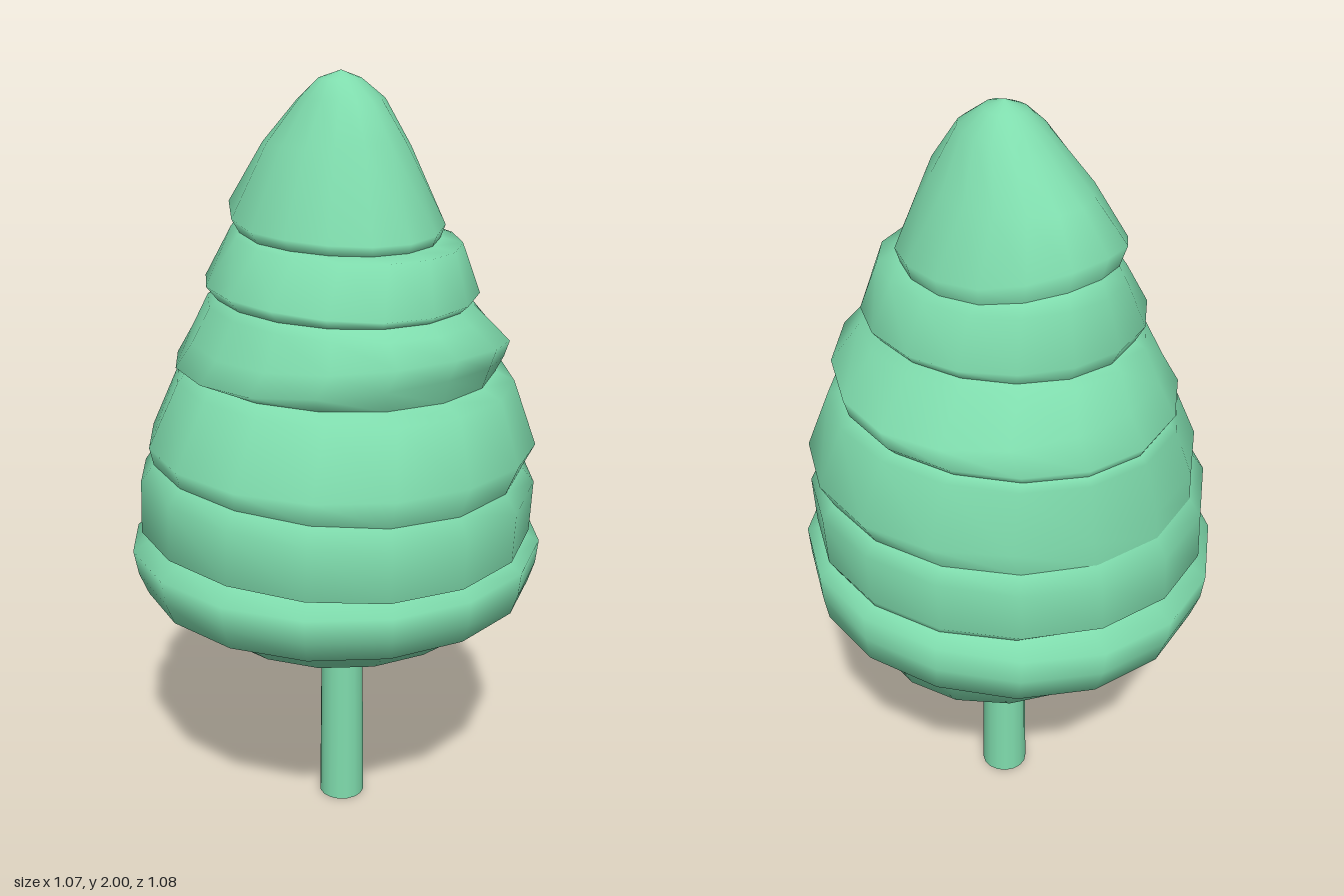
import * as THREE from 'three';

const SIDES = 16;

// Each ring: [left x, right x, back z, front z,  left y, right y, back y, front y]
const tiers = {
  crown: [
    [0.02, 0.02, 0, 0, 2, 2, 2, 2],
    [-0.03, 0.07, -0.06, 0.05, 1.98, 1.98, 1.98, 1.985],
    [-0.075, 0.12, -0.12, 0.115, 1.94, 1.935, 1.92, 1.94],
    [-0.135, 0.19, -0.24, 0.18, 1.83, 1.8, 1.81, 1.85],
    [-0.235, 0.27, -0.31, 0.275, 1.64, 1.65, 1.71, 1.63],
    [-0.215, 0.26, -0.295, 0.26, 1.61, 1.61, 1.655, 1.605],
  ],
  upperTier: [
    [-0.23, 0.295, -0.325, 0.325, 1.6, 1.6, 1.62, 1.6],
    [-0.32, 0.345, -0.35, 0.37, 1.495, 1.48, 1.49, 1.475],
    [-0.29, 0.325, -0.33, 0.345, 1.46, 1.455, 1.45, 1.455],
  ],
  secondTier: [
    [-0.31, 0.345, -0.36, 0.38, 1.44, 1.43, 1.44, 1.43],
    [-0.355, 0.44, -0.41, 0.42, 1.35, 1.32, 1.36, 1.38],
    [-0.39, 0.44, -0.445, 0.41, 1.29, 1.285, 1.27, 1.33],
    [-0.36, 0.42, -0.435, 0.39, 1.275, 1.265, 1.25, 1.27],
  ],
  middleTier: [
    [-0.39, 0.45, -0.455, 0.45, 1.25, 1.25, 1.235, 1.25],
    [-0.49, 0.5, -0.475, 0.52, 1.1, 1.08, 1.09, 1.1],
    [-0.47, 0.475, -0.48, 0.49, 1.05, 1.03, 1.02, 1.02],
  ],
  waistTier: [
    [-0.505, 0.51, -0.51, 0.52, 1.01, 1.0, 0.97, 0.97],
    [-0.51, 0.5, -0.51, 0.52, 0.87, 0.86, 0.845, 0.845],
    [-0.47, 0.49, -0.48, 0.49, 0.855, 0.84, 0.83, 0.835],
  ],
  skirtTier: [
    [-0.535, 0.53, -0.535, 0.545, 0.82, 0.825, 0.78, 0.82],
    [-0.52, 0.53, -0.53, 0.53, 0.75, 0.76, 0.72, 0.75],
    [-0.495, 0.525, -0.51, 0.5, 0.69, 0.7, 0.66, 0.69],
    [-0.44, 0.46, -0.45, 0.45, 0.67, 0.675, 0.655, 0.665],
  ],
  underside: [
    [-0.32, 0.41, -0.375, 0.32, 0.57, 0.555, 0.565, 0.565],
    [-0.06, 0.14, -0.1, 0.1, 0.505, 0.5, 0.5, 0.505],
    [0.03, 0.03, 0, 0, 0.5, 0.5, 0.5, 0.5],
  ],
};

// Skins a stack of tilted elliptical rings, listed from top to bottom
function bandGeometry(rings) {
  const points = [], index = [];
  rings.forEach(([xl, xr, zb, zf, yl, yr, yb, yf], i) => {
    for (let j = 0; j < SIDES; j++) {
      const a = (j / SIDES) * Math.PI * 2, c = Math.cos(a), s = Math.sin(a);
      points.push(
        (xl + xr) / 2 + (c * (xr - xl)) / 2,
        c * c * (c > 0 ? yr : yl) + s * s * (s > 0 ? yf : yb),
        (zb + zf) / 2 + (s * (zf - zb)) / 2
      );
      if (i < rings.length - 1) {
        const k = (j + 1) % SIDES;
        const t0 = i * SIDES + j, t1 = i * SIDES + k;
        index.push(t0, t1, t0 + SIDES, t1, t1 + SIDES, t0 + SIDES);
      }
    }
  });
  const g = new THREE.BufferGeometry();
  g.setAttribute('position', new THREE.Float32BufferAttribute(points, 3));
  g.setIndex(index);
  g.computeVertexNormals();
  return g;
}

export function createModel() {
  const tree = new THREE.Group();
  tree.name = 'tree';
  const green = new THREE.MeshStandardMaterial({ color: 0x7fdcad, side: THREE.DoubleSide });
  green.name = 'mint green';

  // Foliage: each tier starts from the tucked-in lip of the one above
  const foliage = new THREE.Group();
  foliage.name = 'foliage';
  let lip = [];
  for (const [name, rings] of Object.entries(tiers)) {
    const mesh = new THREE.Mesh(bandGeometry([...lip, ...rings]), green);
    mesh.name = name;
    foliage.add(mesh);
    lip = [rings[rings.length - 1]];
  }
  tree.add(foliage);

  // Trunk
  const trunk = new THREE.Mesh(new THREE.CylinderGeometry(0.056, 0.062, 0.54, 16), green);
  trunk.name = 'trunk';
  trunk.position.set(0.031, 0.27, -0.006);
  tree.add(trunk);

  return tree;
}
